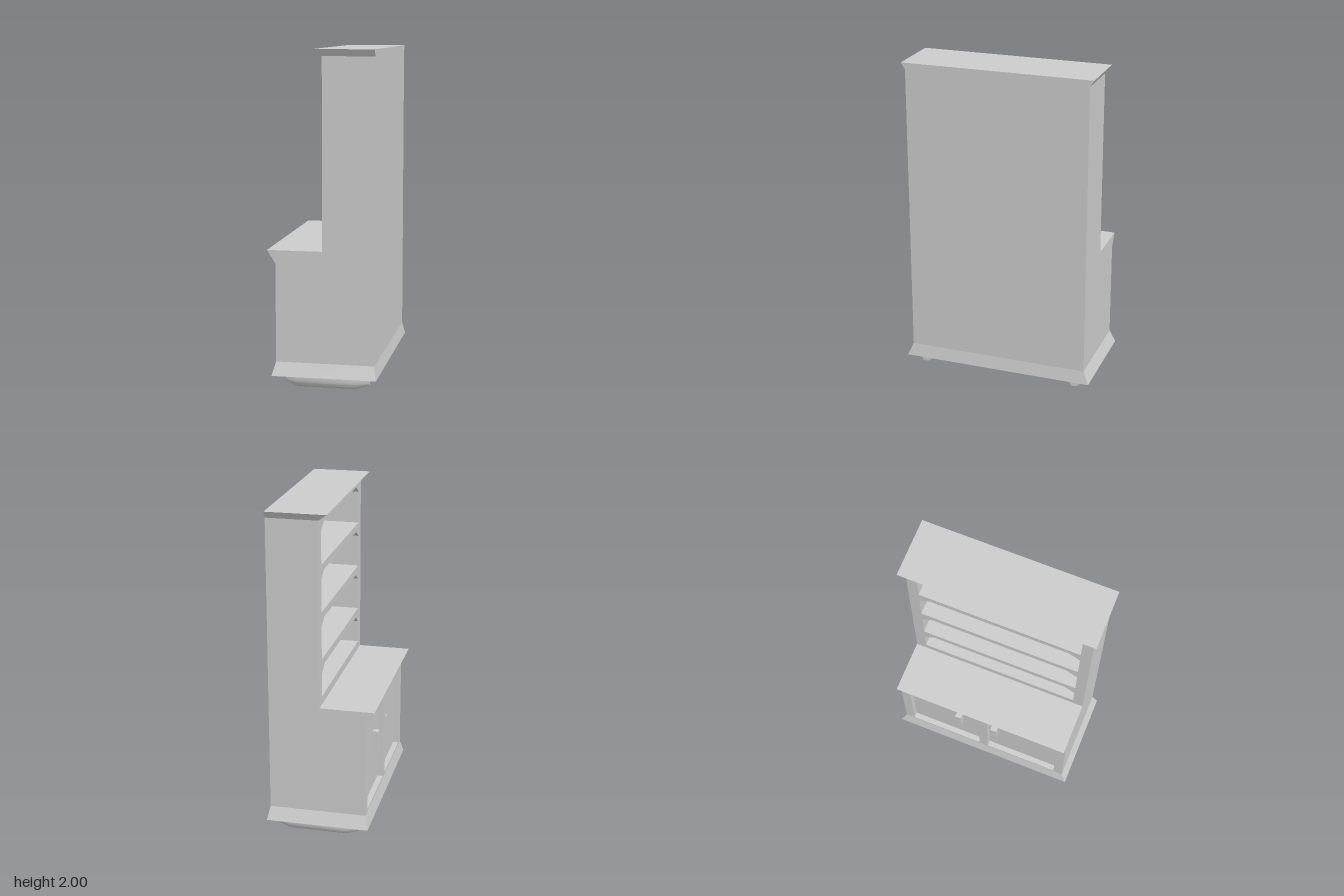
import * as THREE from 'three';
import { toCreasedNormals } from 'three/addons/utils/BufferGeometryUtils.js';

const material = new THREE.MeshStandardMaterial({ color: 0xcccccc });

export function createModel() {
  const group = new THREE.Group();
  const half = 0.565; // half width of the carcass along z

  function add(name, geometry) {
    const mesh = new THREE.Mesh(geometry, material);
    mesh.name = name;
    group.add(mesh);
    return mesh;
  }

  function box(name, x0, x1, y0, y1, z0, z1) {
    const g = new THREE.BoxGeometry(x1 - x0, y1 - y0, z1 - z0);
    g.translate((x0 + x1) / 2, (y0 + y1) / 2, (z0 + z1) / 2);
    return add(name, g);
  }

  // Block whose bottom and top rectangles differ: [x0, x1, half depth in z]
  function flare(name, y0, y1, bottom, top) {
    const g = new THREE.BoxGeometry(2, 2, 2);
    const p = g.attributes.position;
    for (let i = 0; i < p.count; i++) {
      const [x0, x1, z] = p.getY(i) < 0 ? bottom : top;
      p.setXYZ(i, p.getX(i) < 0 ? x0 : x1, p.getY(i) < 0 ? y0 : y1, p.getZ(i) * z);
    }
    g.computeVertexNormals();
    return add(name, g);
  }

  const polygon = (Type, points) => new Type(points.map(([u, v]) => new THREE.Vector2(u, v)));

  const rectangle = (u0, u1, v0, v1) => [[u0, v0], [u1, v0], [u1, v1], [u0, v1]];

  // Upright slab across the width, pierced by openings, running from x0 to x1
  function piercedSlab(name, x0, x1, y0, y1, openings) {
    const shape = polygon(THREE.Shape, rectangle(-half, half, y0, y1));
    shape.holes = openings.map((o) => polygon(THREE.Path, o));
    const g = new THREE.ExtrudeGeometry(shape, { depth: x1 - x0, bevelEnabled: false });
    g.rotateY(Math.PI / 2).translate(x0, 0, 0);
    return add(name, g);
  }

  // Plinth
  flare('plinth', 0.08, 0.16, [-0.3, 0.325, 0.6], [-0.28, 0.31, half]);

  // Lower cupboard with two recessed doors
  box('cupboardBody', -0.245, 0.31, 0.16, 0.75, -half, half);
  piercedSlab('doorFrame', -0.28, -0.245, 0.16, 0.75, [
    rectangle(-0.505, -0.03, 0.175, 0.742),
    rectangle(0.03, 0.505, 0.175, 0.742),
  ]);
  for (const z of [-0.175, 0.07]) {
    box('doorHandle', -0.28, -0.245, 0.4, 0.55, z - 0.02, z + 0.02);
  }

  // Worktop with a sloping front lip
  flare('worktop', 0.75, 0.83, [-0.28, 0.31, half], [-0.33, 0.31, half]);

  // Open shelves with chamfered upper corners
  const w = 0.5;
  const shelves = [[0.88, 1.065], [1.11, 1.355], [1.4, 1.642], [1.685, 1.93]];
  piercedSlab('shelves', 0, 0.235, 0.83, 1.96, shelves.map(([b, t]) => [
    [-w, b], [w, b], [w, t - 0.045], [w - 0.07, t], [-w + 0.07, t], [-w, t - 0.045],
  ]));
  box('shelfBack', 0.235, 0.31, 0.83, 1.96, -half, half);

  // Cornice, flat at the back
  flare('cornice', 1.96, 2, [0, 0.31, half], [-0.053, 0.31, 0.59]);

  // Rounded runners with tapered ends
  const runner = new THREE.Shape();
  runner.moveTo(-0.055, 0.12);
  runner.lineTo(-0.055, 0.06);
  runner.bezierCurveTo(-0.055, 0.02, -0.035, 0, 0, 0);
  runner.bezierCurveTo(0.035, 0, 0.055, 0.02, 0.055, 0.06);
  runner.lineTo(0.055, 0.12);
  for (const z of [-0.495, 0.495]) {
    let g = new THREE.ExtrudeGeometry(runner, {
      depth: 0.35, curveSegments: 10, bevelSegments: 1,
      bevelThickness: 0.075, bevelSize: 0.025, bevelOffset: -0.025,
    });
    g.rotateY(Math.PI / 2).translate(-0.155, 0, z);
    g = toCreasedNormals(g, 0.5);
    add('runner', g);
  }

  return group;
}
